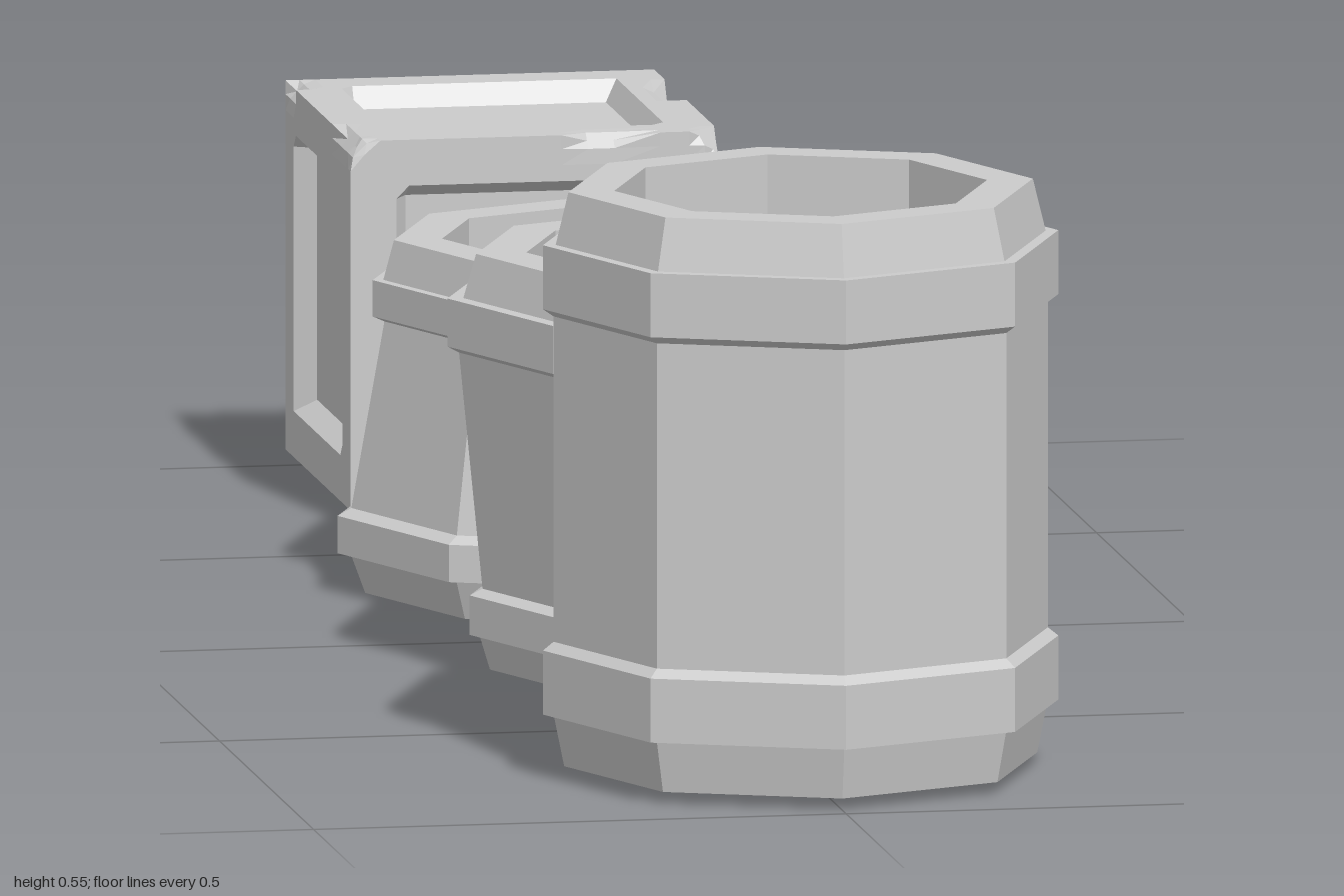
import * as THREE from 'three';

const material = new THREE.MeshStandardMaterial({ color: 0xcccccc, flatShading: true });

// Open eight-sided barrel: outer profile runs up from the base, then down the inside wall to the floor
function makeBarrel(name, z, outer, innerRadius, floorY) {
  const top = outer[outer.length - 1][1];
  const profile = [[0, outer[0][1]], ...outer, [innerRadius, top], [innerRadius, floorY], [0, floorY]];
  const geometry = new THREE.LatheGeometry(profile.map(([r, y]) => new THREE.Vector2(r, y)), 8);
  const mesh = new THREE.Mesh(geometry, material);
  mesh.name = name;
  mesh.position.z = z;
  return mesh;
}

// Cube with a recessed panel on every side but the base, and chipped edges
function makeCrate() {
  const half = 0.173, inset = 0.118, depth = 0.02;
  const steps = [0, 0.025, 0.05, 0.075, inset, 0.13, 0.145, 0.16, half];
  const count = (steps.length - 1) * 2;
  const geometry = new THREE.BoxGeometry(2, 2, 2, count, count, count);
  const pos = geometry.attributes.position;

  // Each chip: centre, outward direction, depth of the cut, reach
  const chips = [
    [[half, half, half], [1, 1, 1], 0.016, 0.05],
    [[-half, half, half], [-1, 1, 1], 0.012, 0.04],
    [[-half, half, -0.145], [-1, 1, 0], 0.012, 0.025],
    [[half, half, -0.05], [1, 1, 0], 0.016, 0.03],
    [[-half, half, 0.13], [-1, 1, 0], 0.01, 0.03],
    [[0.075, half, half], [0, 1, 1], 0.01, 0.035],
  ].map(([p, n, cut, reach]) => ({
    p: new THREE.Vector3(...p), n: new THREE.Vector3(...n).normalize(), cut, reach,
  }));

  const v = new THREE.Vector3(), offset = new THREE.Vector3();
  for (let i = 0; i < pos.count; i++) {
    v.fromBufferAttribute(pos, i);
    // Respace the even grid so its lines fall on the panel borders
    for (const axis of ['x', 'y', 'z']) {
      const k = Math.round(v[axis] * (steps.length - 1));
      v[axis] = Math.sign(k) * steps[Math.abs(k)];
    }
    // Sink the panels
    for (const [a, b, c] of [['x', 'y', 'z'], ['y', 'x', 'z'], ['z', 'x', 'y']]) {
      const onFace = Math.abs(v[a]) > half - 1e-4;
      const inPanel = Math.max(Math.abs(v[b]), Math.abs(v[c])) < inset + 1e-4;
      if (onFace && inPanel && !(a === 'y' && v.y < 0)) {
        v[a] -= Math.sign(v[a]) * depth;
        break;
      }
    }
    // Flatten the chipped spots onto their cutting planes
    for (const { p, n, cut, reach } of chips) {
      offset.subVectors(v, p);
      const over = offset.dot(n) + cut;
      if (over > 0 && offset.length() < reach) v.addScaledVector(n, -over);
    }
    pos.setXYZ(i, v.x, v.y, v.z);
  }
  geometry.computeVertexNormals();
  const mesh = new THREE.Mesh(geometry, material);
  mesh.name = 'crate';
  mesh.position.set(0, 0.188, -0.827);
  return mesh;
}

export function createModel() {
  const group = new THREE.Group();
  group.name = 'barrelsAndCrate';

  // Tall straight barrel
  group.add(makeBarrel('tallBarrel', 0.758, [
    [0.222, 0.011], [0.232, 0.06], [0.242, 0.06], [0.242, 0.12], [0.232, 0.128],
    [0.232, 0.433], [0.242, 0.44], [0.242, 0.5], [0.23, 0.5], [0.218, 0.549],
  ], 0.175, 0.06));

  // Medium barrel, wider at the top
  group.add(makeBarrel('flaredBarrel', 0.222, [
    [0.197, 0.012], [0.207, 0.045], [0.216, 0.045], [0.216, 0.082], [0.204, 0.088],
    [0.226, 0.31], [0.237, 0.316], [0.237, 0.361], [0.222, 0.361], [0.21, 0.402],
  ], 0.163, 0.05));

  // Low barrel, wider at the base
  group.add(makeBarrel('squatBarrel', -0.288, [
    [0.224, 0], [0.238, 0.038], [0.25, 0.038], [0.25, 0.073], [0.237, 0.08],
    [0.206, 0.254], [0.217, 0.259], [0.217, 0.293], [0.207, 0.293], [0.197, 0.33],
  ], 0.152, 0.04));

  group.add(makeCrate());
  return group;
}
